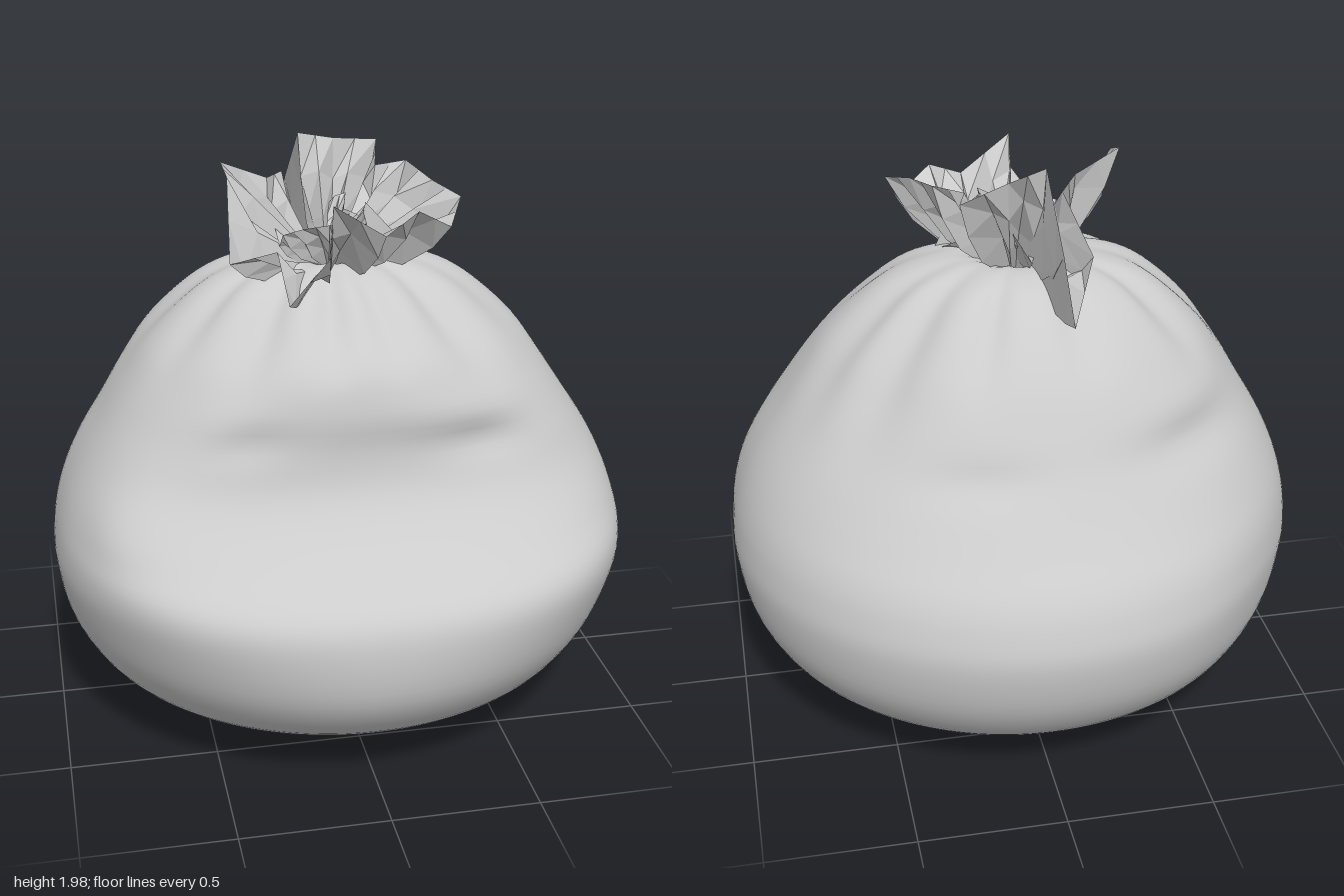
import * as THREE from 'three';

// Sack sections from floor to neck: height, half width, depth to front, depth to back
const SECTIONS = [
  [0, 0.002, 0.002, 0.002], [0.005, 0.2, 0.2, 0.2], [0.025, 0.4, 0.37, 0.37], [0.07, 0.6, 0.56, 0.55],
  [0.14, 0.75, 0.7, 0.7], [0.25, 0.875, 0.845, 0.83], [0.4, 0.96, 0.945, 0.925], [0.58, 0.995, 0.965, 0.965],
  [0.7, 0.99, 0.925, 0.945], [0.8, 0.97, 0.79, 0.9], [0.9, 0.935, 0.68, 0.82], [1.0, 0.885, 0.61, 0.745],
  [1.12, 0.81, 0.58, 0.67], [1.25, 0.73, 0.57, 0.6], [1.37, 0.65, 0.53, 0.53], [1.48, 0.54, 0.43, 0.44],
  [1.56, 0.43, 0.33, 0.35], [1.605, 0.31, 0.23, 0.27], [1.62, 0.18, 0.15, 0.16], [1.57, 0.06, 0.06, 0.06],
];
// Grooves gathering into the neck: angle (0 = +x, 90 = front), angular width, depth, lowest height
const PLEATS = [
  [20, 10, 0.06, 1.25], [52, 9, 0.14, 1.2], [78, 6, 0.1, 1.3], [97, 6, 0.14, 1.3], [122, 8, 0.13, 1.2],
  [150, 7, 0.08, 1.25], [183, 9, 0.08, 1.2], [215, 7, 0.1, 1.25], [255, 7, 0.1, 1.3], [288, 6, 0.1, 1.25],
  [318, 10, 0.13, 1.0], [342, 9, 0.09, 1.05],
];
// Soft dents and swells on the cloth: angle, height, angular radius, height radius, amount
const DENTS = [
  [66, 1.11, 13, 0.06, -0.04], [72, 1.22, 18, 0.07, 0.02], [112, 1.15, 10, 0.06, -0.025],
  [231, 1.12, 18, 0.07, -0.04], [228, 1.25, 20, 0.07, 0.02], [285, 1.1, 14, 0.06, -0.03],
  [135, 0.9, 18, 0.15, 0.05], [218, 0.55, 20, 0.3, -0.025],
];
// Torn rim of the ruffle, counted once around from the left side over the back
const RIM = [
  [0.35, 1.75, 0.25], [0.39, 1.84, 0.21], [0.32, 1.87, 0.1], [0.27, 1.9, -0.07], [0.17, 1.88, -0.1],
  [0.22, 1.92, -0.31], [0.05, 1.95, -0.23], [-0.08, 1.98, -0.2], [-0.09, 1.77, -0.42], [-0.11, 1.56, -0.51],
  [-0.22, 1.7, -0.28], [-0.15, 1.87, -0.12], [-0.22, 1.88, 0], [-0.38, 1.95, 0.04], [-0.37, 1.92, 0.12],
  [-0.39, 1.68, 0.3], [-0.23, 1.7, 0.26], [-0.22, 1.57, 0.43], [-0.1, 1.74, 0.49], [-0.08, 1.89, 0.43],
  [0.1, 1.77, 0.39], [0.22, 1.83, 0.33],
];

const { smoothstep, degToRad } = THREE.MathUtils;
const bump = (d, w) => Math.exp(-(d * d) / (w * w));
const angleGap = (a, b) => ((a - b + 540) % 360) - 180;

// Skin closed rings of equal length into one surface
function loft(rings) {
  const n = rings[0].length, pos = rings.flat(2), index = [];
  for (let j = 0; j < rings.length - 1; j++) {
    for (let i = 0; i < n; i++) {
      const a = j * n + i, b = j * n + (i + 1) % n;
      index.push(a, a + n, b, b, a + n, b + n);
    }
  }
  const g = new THREE.BufferGeometry();
  g.setAttribute('position', new THREE.Float32BufferAttribute(pos, 3));
  g.setIndex(index);
  g.computeVertexNormals();
  return g;
}

function sackGeometry() {
  const profile = k => new THREE.CatmullRomCurve3(
    SECTIONS.map(s => new THREE.Vector3(s[k], s[0], 0)), false, 'catmullrom', 0.5);
  const [side, front, back] = [1, 2, 3].map(profile);
  const rings = [], rows = 76, n = 144;
  for (let j = 0; j <= rows; j++) {
    const t = j / rows, p = side.getPoint(t), y = p.y;
    const zf = front.getPoint(t).x, zb = back.getPoint(t).x;
    const neck = smoothstep(y, 0.9, 1.6);
    // The slumped front is squarer than an ellipse at mid height
    const square = 1 - 0.27 * smoothstep(y, 0.3, 0.9) * (1 - smoothstep(y, 1.05, 1.45));
    const ring = [];
    for (let i = 0; i < n; i++) {
      const deg = 360 * i / n, a = degToRad(deg);
      let k = 1;
      for (const [pa, w, depth, low] of PLEATS) {
        k -= depth * smoothstep(y, low, 1.6) * bump(angleGap(deg, pa), w);
      }
      for (const [da, dy, wa, wy, amount] of DENTS) {
        k += amount * bump(angleGap(deg, da), wa) * bump(y - dy, wy);
      }
      const s = Math.sin(a), c = Math.cos(a), e = s > 0 ? square : 1;
      const x = Math.sign(c) * Math.abs(c) ** e, z = Math.sign(s) * Math.abs(s) ** e;
      ring.push([p.x * x * k - 0.02 * neck, y, z * (s > 0 ? zf : zb) * k + 0.02 * neck]);
    }
    rings.push(ring);
  }
  return loft(rings);
}

// Pleated sheet spreading low from the tied neck, then rising; scale shrinks it for inner layers
function ruffleGeometry(scale, turn, lift) {
  const n = RIM.length * 2, c = [-0.02, 1.56, 0.04], rings = [[], [], [], []];
  for (let i = 0; i < n; i++) {
    const a = RIM[i >> 1], b = RIM[((i + 1) >> 1) % RIM.length], fold = i % 2;
    // Every second point is a pleat valley between two rim corners
    const rim = a.map((v, k) => (v + b[k]) / 2 - c[k]);
    const az = Math.atan2(rim[2], rim[0]);
    [0, 0.35, 0.7, 1].forEach((t, r) => {
      const neck = fold ? 0.04 : 0.09;
      const pinch = [1, fold ? 0.9 : 1.25, fold ? 0.98 : 1.12, 1][r];
      const x = ((1 - t) * neck * Math.cos(az) + t * rim[0]) * pinch;
      const z = ((1 - t) * neck * Math.sin(az) + t * rim[2]) * pinch;
      const y = t * rim[1] + (fold ? 0.06 : -0.1) * t * (1 - t);
      rings[r].push([
        c[0] + scale * (x * Math.cos(turn) - z * Math.sin(turn)),
        c[1] + lift + y * scale,
        c[2] + scale * (x * Math.sin(turn) + z * Math.cos(turn)),
      ]);
    });
  }
  return loft(rings);
}

export function createModel() {
  const model = new THREE.Group();
  const add = (name, geometry, options = {}) => {
    const mesh = new THREE.Mesh(geometry, new THREE.MeshStandardMaterial({
      color: 0xcccccc, side: THREE.DoubleSide, ...options }));
    mesh.name = name;
    model.add(mesh);
  };
  add('sackBody', sackGeometry());
  add('ruffle', ruffleGeometry(1, 0, 0), { flatShading: true });
  add('innerRuffle', ruffleGeometry(0.5, 2.1, 0.03), { flatShading: true });
  return model;
}
